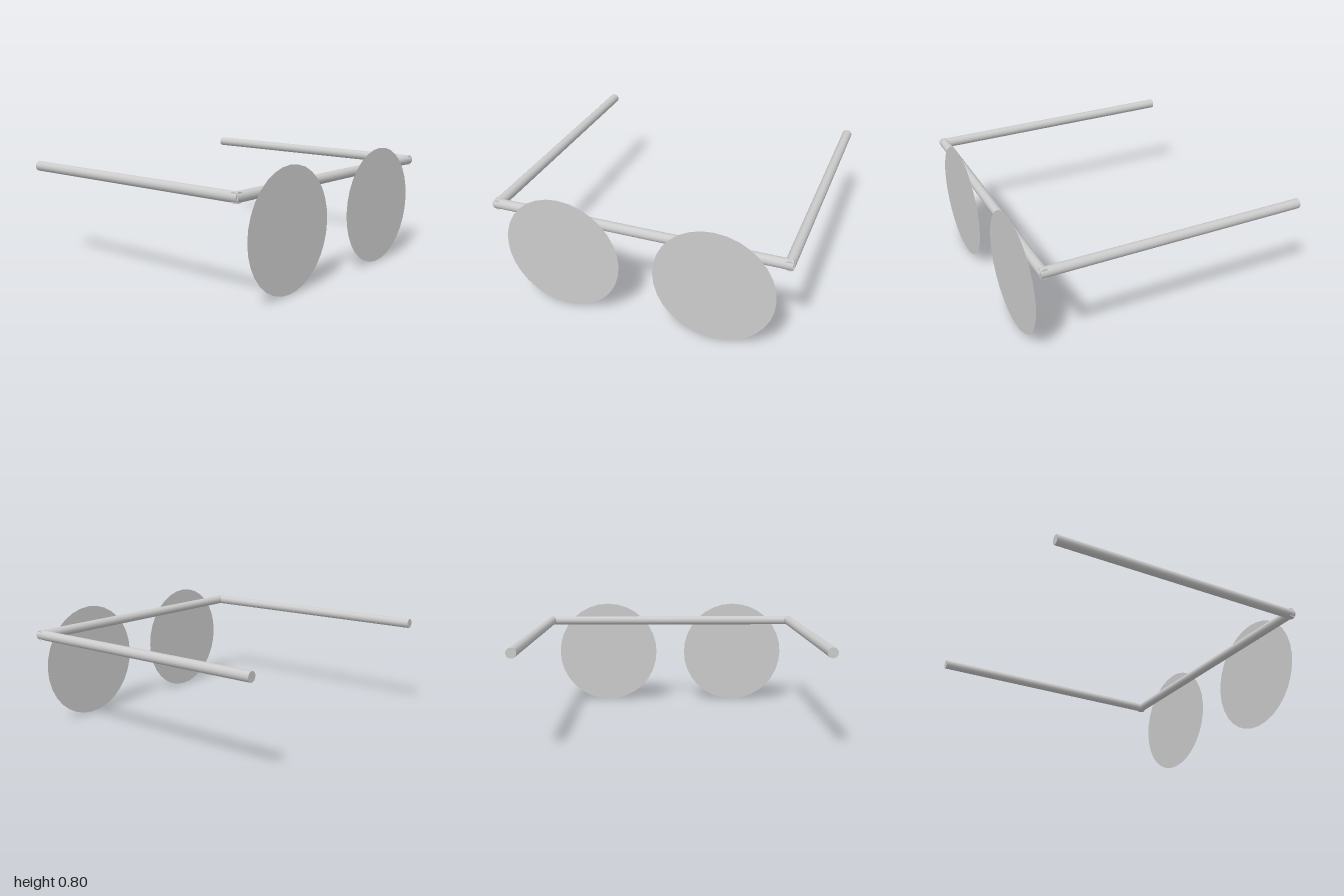
import * as THREE from 'three';

const R = 0.0335;     // tube radius
const TUBE_Y = 0.664; // height of the frame tubes
const BAR_Z = 0.877;  // depth of the brow bar
const ARM_X = 0.9665; // side offset of the arms

export function createModel() {
  const group = new THREE.Group();
  const material = new THREE.MeshStandardMaterial({ color: 0xcccccc });
  const lensMaterial = new THREE.MeshStandardMaterial({ color: 0xcccccc, side: THREE.DoubleSide });

  const add = (name, geometry, mat, x, y, z) => {
    const mesh = new THREE.Mesh(geometry, mat);
    mesh.name = name;
    mesh.position.set(x, y, z);
    group.add(mesh);
  };

  // Brow bar halves meet at the centre and cross the arms at the hinges
  const barLength = 0.99;
  const barGeometry = new THREE.CylinderGeometry(R, R, barLength, 16).rotateZ(Math.PI / 2);

  // Arms run straight back from the hinges
  const armFront = 0.9, armBack = -0.912;
  const armGeometry = new THREE.CylinderGeometry(R, R, armFront - armBack, 16).rotateX(Math.PI / 2);

  // Flat round lenses just in front of the bar
  const lensGeometry = new THREE.CircleGeometry(0.399, 32);

  for (const [side, s] of [['left', 1], ['right', -1]]) {
    add(side + 'BrowBar', barGeometry, material, s * barLength / 2, TUBE_Y, BAR_Z);
    add(side + 'Arm', armGeometry, material, s * ARM_X, TUBE_Y, (armFront + armBack) / 2);
    add(side + 'Lens', lensGeometry, lensMaterial, s * 0.513, 0.399, 0.911);
  }
  return group;
}
